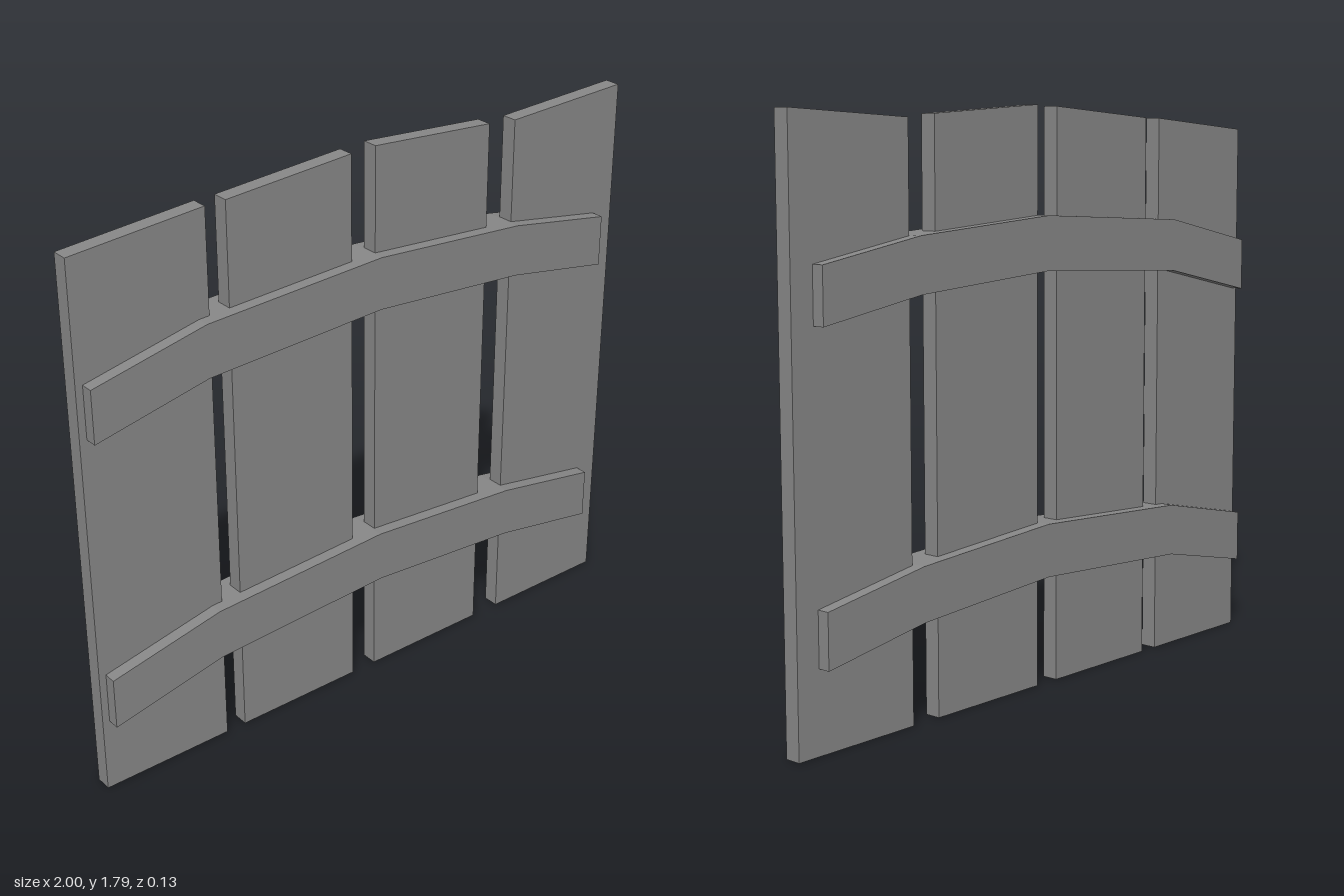
import * as THREE from 'three';

const PLANK_DEPTH = 0.052;
const RAIL_DEPTH = 0.132;
const RAIL_HEIGHT = 0.166;

// Flat outline extruded symmetrically about z = 0
function board(name, points, depth, material) {
  const shape = new THREE.Shape(points.map(([x, y]) => new THREE.Vector2(x, y)));
  const geometry = new THREE.ExtrudeGeometry(shape, { depth, bevelEnabled: false });
  geometry.translate(0, 0, -depth / 2);
  const mesh = new THREE.Mesh(geometry, material);
  mesh.name = name;
  return mesh;
}

export function createModel() {
  const group = new THREE.Group();
  group.name = 'fencePanel';
  const material = new THREE.MeshStandardMaterial({ color: 0x868686 });

  // Upright planks with slanted tops: left x, right x, left height, right height
  const planks = [
    [-1, -0.565, 1.719, 1.753],
    [-0.498, -0.065, 1.754, 1.785],
    [0.022, 0.459, 1.789, 1.759],
    [0.562, 1, 1.748, 1.77],
  ];
  planks.forEach(([x0, x1, h0, h1], i) => {
    const outline = [[x0, 0], [x1, 0], [x1, h1], [x0, h0]];
    group.add(board(`plank${i + 1}`, outline, PLANK_DEPTH, material));
  });

  // Bowed rails, each one solid beam running through the planks
  const railTop = [[-0.977, 1.347], [-0.6, 1.428], [0.015, 1.46], [0.553, 1.421], [0.922, 1.358]];
  for (const [name, drop] of [['upperRail', 0], ['lowerRail', 0.943]]) {
    const top = railTop.map(([x, y]) => [x, y - drop]);
    const bottom = top.map(([x, y]) => [x, y - RAIL_HEIGHT]);
    group.add(board(name, [...bottom, ...top.reverse()], RAIL_DEPTH, material));
  }

  return group;
}
